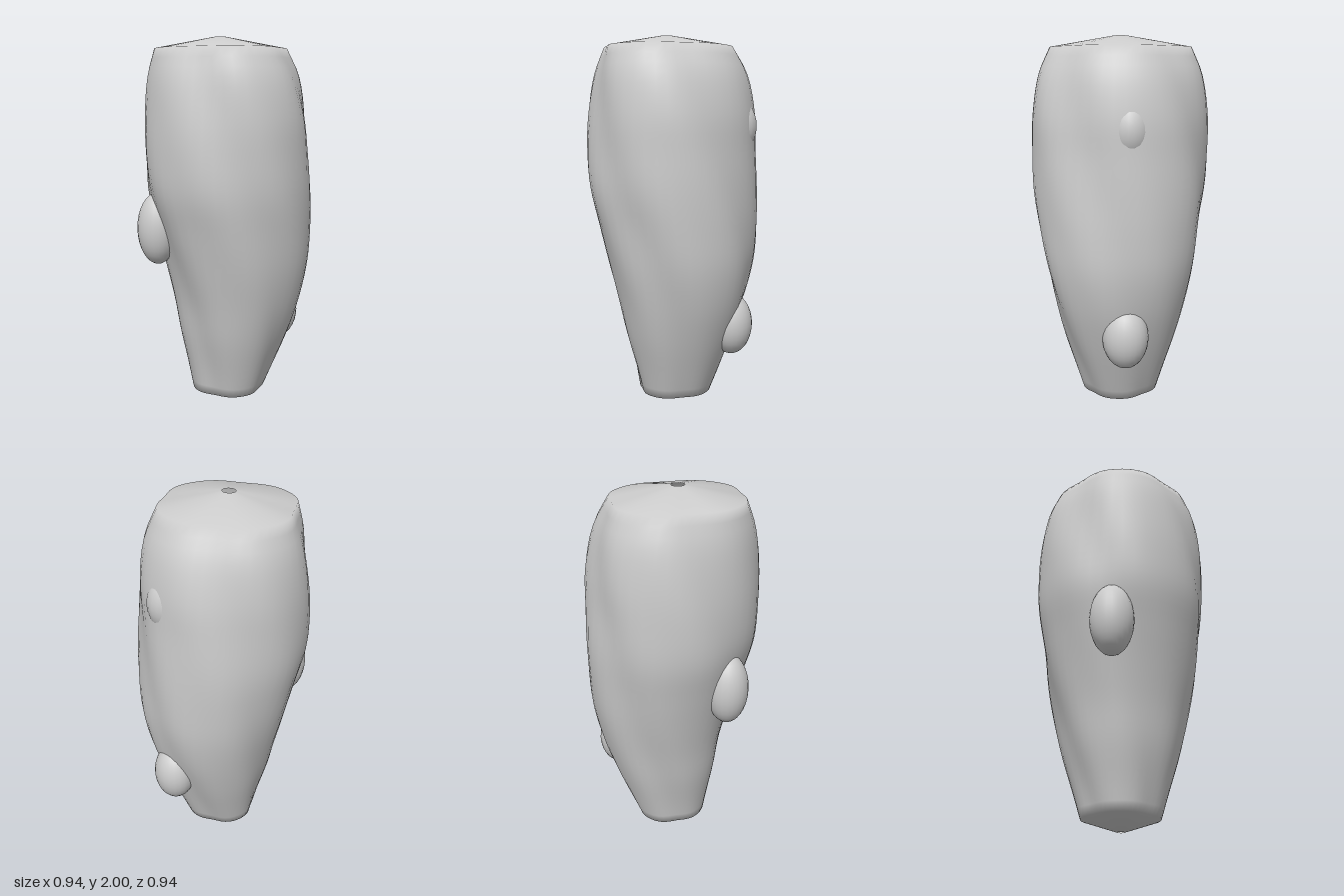
import * as THREE from 'three';
import { mergeVertices } from 'three/addons/utils/BufferGeometryUtils.js';

const lerp = THREE.MathUtils.lerp;

// Smooth curve through [height, value] pairs
function curveThrough(pairs) {
  return (y) => {
    let i = 0;
    while (i < pairs.length - 2 && y > pairs[i + 1][0]) i++;
    const at = (k) => pairs[THREE.MathUtils.clamp(k, 0, pairs.length - 1)];
    const [a, b] = [at(i), at(i + 1)];
    const slope = (k) => (at(k + 1)[1] - at(k - 1)[1]) / (at(k + 1)[0] - at(k - 1)[0]);
    const h = b[0] - a[0], t = (y - a[0]) / h, t2 = t * t, t3 = t2 * t;
    return (2 * t3 - 3 * t2 + 1) * a[1] + (t3 - 2 * t2 + t) * h * slope(i)
      + (3 * t2 - 2 * t3) * b[1] + (t3 - t2) * h * slope(i + 1);
  };
}

const radiusAt = curveThrough([
  [0.065, 0.198], [0.2, 0.239], [0.4, 0.302], [0.6, 0.355], [0.8, 0.401], [1, 0.434],
  [1.2, 0.46], [1.4, 0.463], [1.6, 0.455], [1.8, 0.421], [1.94, 0.362],
]);
// The trunk bows towards +x below its middle
const centreAt = curveThrough([
  [0.065, 0.03], [0.2, 0.045], [0.4, 0.063], [0.6, 0.079], [0.8, 0.075], [1, 0.052],
  [1.2, 0.024], [1.4, 0.013], [1.6, 0.012], [1.8, 0.002], [1.94, -0.015],
]);

// Tapered trunk, a rounded square turning a quarter on its way up, with shallow pierced cones at both ends
function bodyGeometry() {
  const rows = 40;
  const geo = new THREE.CylinderGeometry(1, 1, 2, 48, rows, true);
  geo.deleteAttribute('uv');
  geo.deleteAttribute('normal');
  const pos = geo.attributes.position;
  for (let i = 0; i < pos.count; i++) {
    const row = Math.round((pos.getY(i) + 1) / 2 * rows);
    const a = Math.atan2(pos.getZ(i), pos.getX(i));
    let y, r, cx;
    if (row === 0) [y, r, cx] = [0, 0.018, 0.02];
    else if (row === rows) [y, r, cx] = [2, 0.036, -0.02];
    else {
      y = lerp(0.065, 1.94, (row - 1) / (rows - 2));
      const turn = a - 0.835 * (y - 0.06);
      const corner = 0.02 + 0.03 * (y - 1) ** 2;
      r = radiusAt(y) * (1 + corner * Math.cos(4 * turn) - 0.012 * Math.cos(8 * turn));
      cx = centreAt(y);
    }
    pos.setXYZ(i, cx + (0.99 - 0.028 * y) * r * Math.cos(a), y, r * Math.sin(a));
  }
  const merged = mergeVertices(geo, 1e-5);
  merged.computeVertexNormals();
  return merged;
}

export function createModel() {
  const group = new THREE.Group();
  const grey = new THREE.MeshStandardMaterial({ color: 0xcccccc, side: THREE.DoubleSide });
  grey.name = 'stone grey';

  const body = new THREE.Mesh(bodyGeometry(), grey);
  body.name = 'twistedBody';
  group.add(body);

  // Egg-shaped knobs half sunk in the sides: name, centre, half sizes
  const knobs = [
    ['lowerLeftKnob', [0.355, 0.465, -0.053], [0.112, 0.165, 0.12]],
    ['upperLeftKnob', [0.33, 1.525, -0.075], [0.138, 0.165, 0.115]],
    ['rightKnob', [-0.36, 0.99, -0.055], [0.11, 0.195, 0.115]],
  ];
  const sphere = new THREE.SphereGeometry(1, 24, 16);
  for (const [name, centre, size] of knobs) {
    const knob = new THREE.Mesh(sphere, grey);
    knob.name = name;
    knob.position.set(...centre);
    knob.scale.set(...size);
    group.add(knob);
  }
  return group;
}
